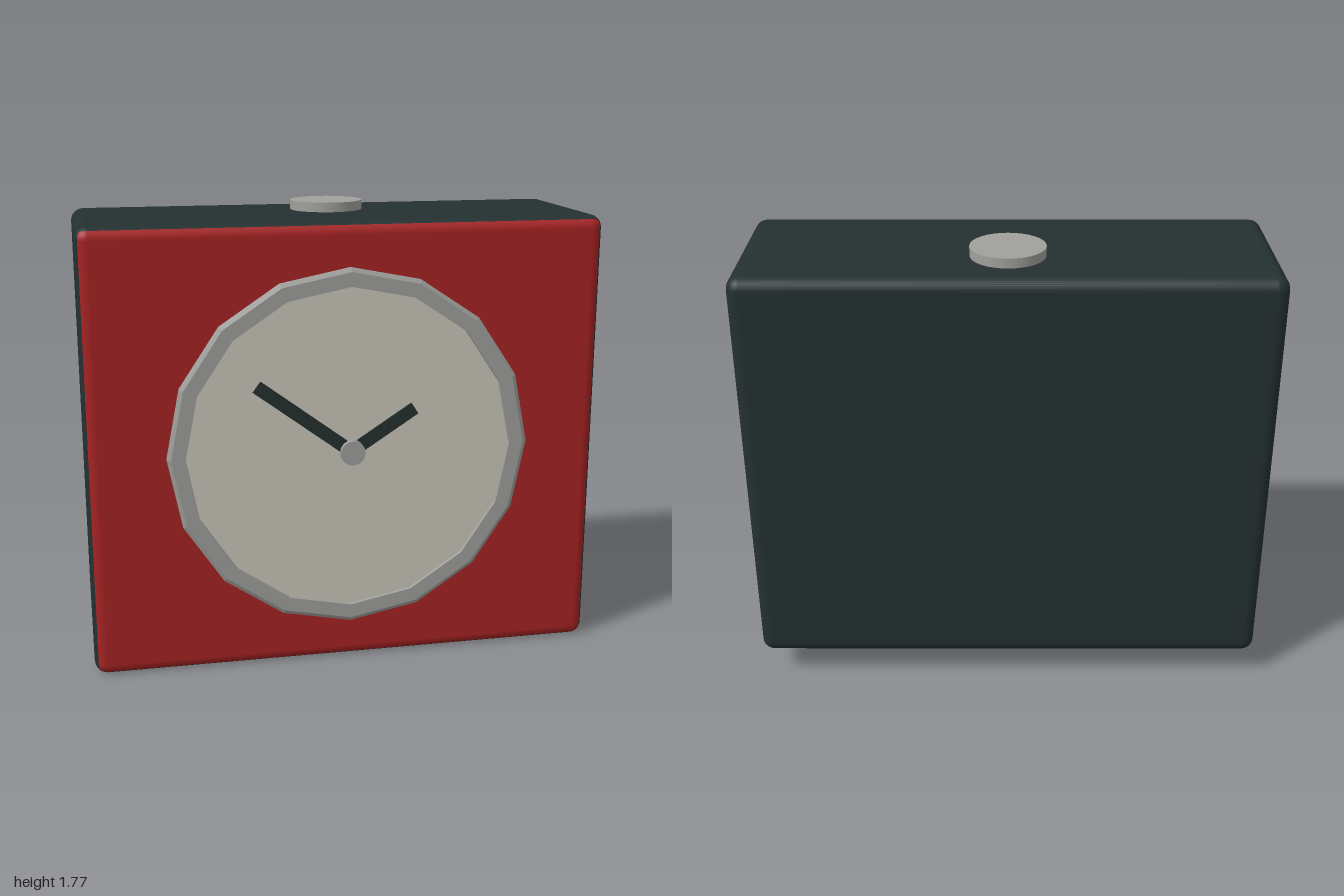
import * as THREE from 'three';
import { RoundedBoxGeometry } from 'three/addons/geometries/RoundedBoxGeometry.js';

const flat = (name, color) => {
  const m = new THREE.MeshStandardMaterial({ color });
  m.name = name;
  return m;
};

export function createModel() {
  const dark = flat('dark green grey', 0x243030);
  const red = flat('red', 0xa82323);
  const metal = flat('grey metal', 0xa0a09d);
  const cream = flat('cream', 0xcbc7bc);

  const clock = new THREE.Group();
  clock.name = 'deskClock';
  const add = (name, geometry, material, x, y, z) => {
    const mesh = new THREE.Mesh(geometry, material);
    mesh.name = name;
    mesh.position.set(x, y, z);
    clock.add(mesh);
    return mesh;
  };

  // Rounded case whose underside rises towards the back; only the front is red
  const caseGeo = new RoundedBoxGeometry(2, 1.735, 0.712, 4, 0.05);
  const pos = caseGeo.attributes.position;
  const nor = caseGeo.attributes.normal;
  const slope = 0.185;
  for (let i = 0; i < pos.count; i++) {
    if (pos.getY(i) > 0) continue;
    pos.setY(i, pos.getY(i) + slope * (0.32 - pos.getZ(i)));
    const n = new THREE.Vector3(nor.getX(i), nor.getY(i), nor.getZ(i) + slope * nor.getY(i)).normalize();
    nor.setXYZ(i, n.x, n.y, n.z);
  }
  add('case', caseGeo, [dark, dark, dark, dark, red, dark], 0, 0.8675, -0.04);

  // Sixteen-sided bezel, a closed ring with bevelled outer edges
  const cy = 0.87;
  const profile = [
    [0.63, 0], [0.685, 0], [0.7, 0.009], [0.7, 0.026], [0.685, 0.035], [0.63, 0.035], [0.63, 0],
  ].map(([r, h]) => new THREE.Vector2(r, h));
  const bezelGeo = new THREE.LatheGeometry(profile, 16).toNonIndexed();
  bezelGeo.computeVertexNormals();
  bezelGeo.rotateX(Math.PI / 2);
  add('bezel', bezelGeo, metal, 0, cy, 0.33);

  // Dial set just behind the bezel rim
  const dialGeo = new THREE.CylinderGeometry(0.632, 0.632, 0.016, 16);
  dialGeo.rotateX(Math.PI / 2);
  add('dial', dialGeo, cream, 0, cy, 0.34);

  // Hands, each running from the pivot to its tip
  const addHand = (name, tipX, tipY, z) => {
    const length = Math.hypot(tipX, tipY);
    const geo = new THREE.BoxGeometry(length, 0.05, 0.008);
    geo.translate(length / 2, 0, 0);
    add(name, geo, dark, 0, cy, z).rotation.z = Math.atan2(tipY, tipX);
  };
  addHand('minuteHand', -0.362, 0.27, 0.376);
  addHand('hourHand', 0.245, 0.158, 0.37);

  // Pivot cap with its pin
  const pivotGeo = new THREE.CylinderGeometry(0.048, 0.048, 0.024, 16);
  pivotGeo.rotateX(Math.PI / 2);
  add('pivotCap', pivotGeo, metal, 0, cy, 0.387);
  const pinGeo = new THREE.CylinderGeometry(0.015, 0.015, 0.05, 10);
  pinGeo.rotateX(Math.PI / 2);
  add('pivotPin', pinGeo, metal, 0, cy, 0.365);

  // Alarm button on the top
  add('alarmButton', new THREE.CylinderGeometry(0.142, 0.142, 0.04, 32), metal, 0, 1.752, -0.135);

  return clock;
}
